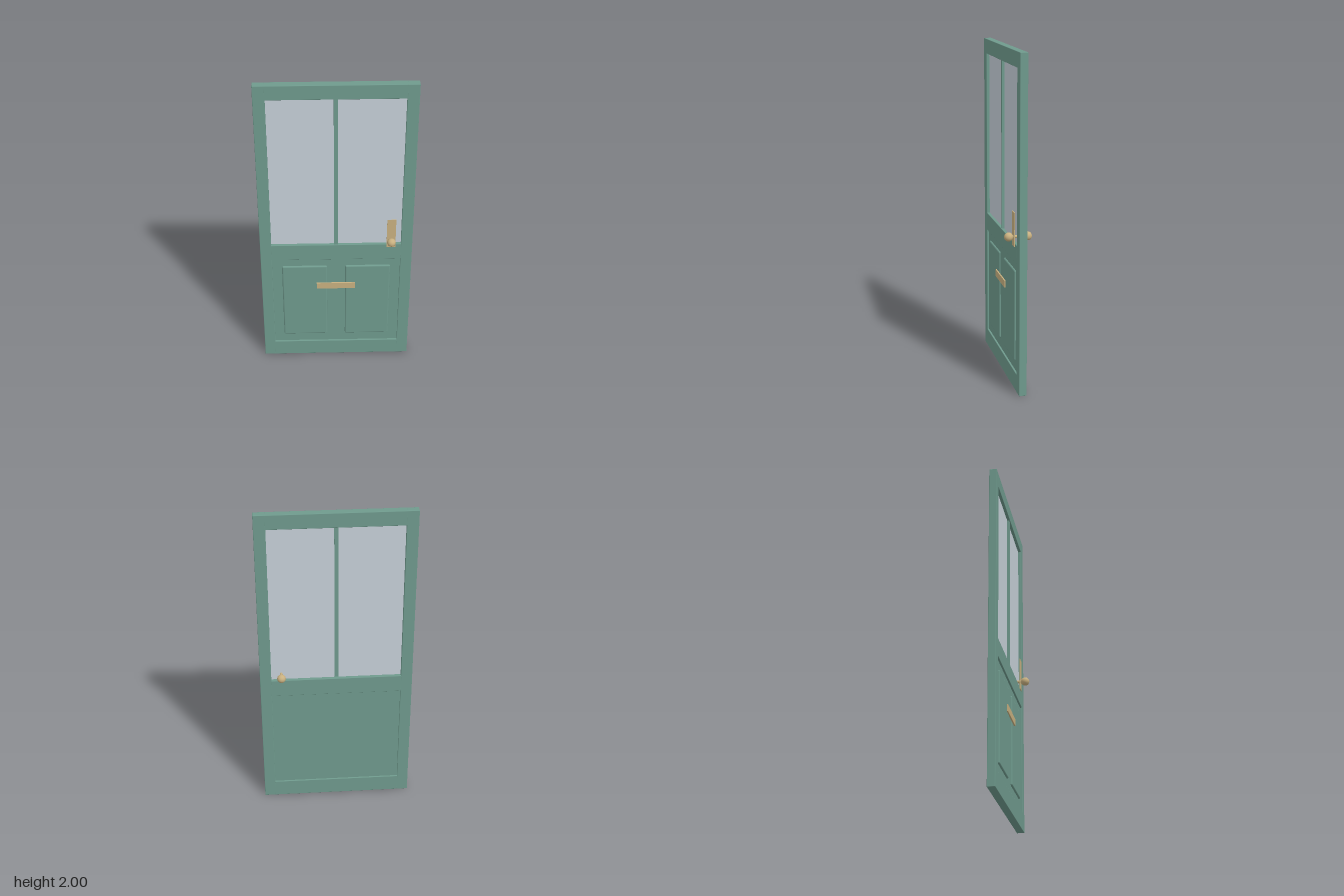
import * as THREE from 'three';
import { RoundedBoxGeometry } from 'three/addons/geometries/RoundedBoxGeometry.js';

const paint = new THREE.MeshStandardMaterial({ color: 0x6f9a8d });
const glass = new THREE.MeshStandardMaterial({ color: 0xc6d0d8 });
const brass = new THREE.MeshStandardMaterial({ color: 0xc8b080 });

export function createModel() {
  const door = new THREE.Group();
  door.name = 'door';

  // Box given by its limits on each axis, optionally with softened edges
  function slab(name, material, [x0, x1], [y0, y1], [z0, z1], radius = 0) {
    const size = [x1 - x0, y1 - y0, z1 - z0];
    const geometry = radius
      ? new RoundedBoxGeometry(...size, 2, radius)
      : new THREE.BoxGeometry(...size);
    const mesh = new THREE.Mesh(geometry, material);
    mesh.name = name;
    mesh.position.set((x0 + x1) / 2, (y0 + y1) / 2, (z0 + z1) / 2);
    door.add(mesh);
    return mesh;
  }

  const W = 0.463, INNER = 0.394;
  const depth = [-0.025, 0.021];

  // Frame: two stiles and three rails
  slab('rightStile', paint, [-W, -INNER], [0, 2], depth, 0.003);
  slab('leftStile', paint, [INNER, W], [0, 2], depth, 0.003);
  const rails = { bottomRail: [0, 0.11], middleRail: [0.785, 0.897], topRail: [1.91, 2] };
  for (const [name, span] of Object.entries(rails)) {
    slab(name, paint, [-INNER - 0.004, INNER + 0.004], span, depth, 0.003);
  }

  // Glazing with a central bar
  slab('windowPane', glass, [-INNER, INNER], [0.895, 1.912], [-0.005, 0.003]);
  slab('glazingBar', paint, [-0.013, 0.011], [0.895, 1.912], [-0.0055, 0.016]);

  // Recessed lower panel with two raised fields on the front
  slab('lowerPanel', paint, [-INNER, INNER], [0.108, 0.787], [-0.016, 0.01]);
  for (const side of [-1, 1]) {
    const field = slab('raisedField', paint, [-0.139, 0.139], [0.172, 0.73], [-0.002, 0.02], 0.009);
    field.position.x = side * 0.195;
  }

  // Letter plate and lock plate
  slab('letterPlate', brass, [-0.121, 0.119], [0.559, 0.602], [0.02, 0.028]);
  slab('lockPlate', brass, [0.306, 0.36], [0.88, 1.083], [0.023, 0.027]);

  // Knobs on both faces, joined by a spindle
  const spindle = new THREE.Mesh(new THREE.CylinderGeometry(0.009, 0.009, 0.1, 20), brass);
  spindle.name = 'spindle';
  spindle.rotation.x = Math.PI / 2;
  spindle.position.set(0.333, 0.935, -0.002);
  door.add(spindle);
  for (const [name, z] of [['frontKnob', 0.054], ['backKnob', -0.058]]) {
    const knob = new THREE.Mesh(new THREE.SphereGeometry(0.026, 32, 20), brass);
    knob.name = name;
    knob.position.set(0.333, 0.935, z);
    door.add(knob);
  }

  return door;
}
